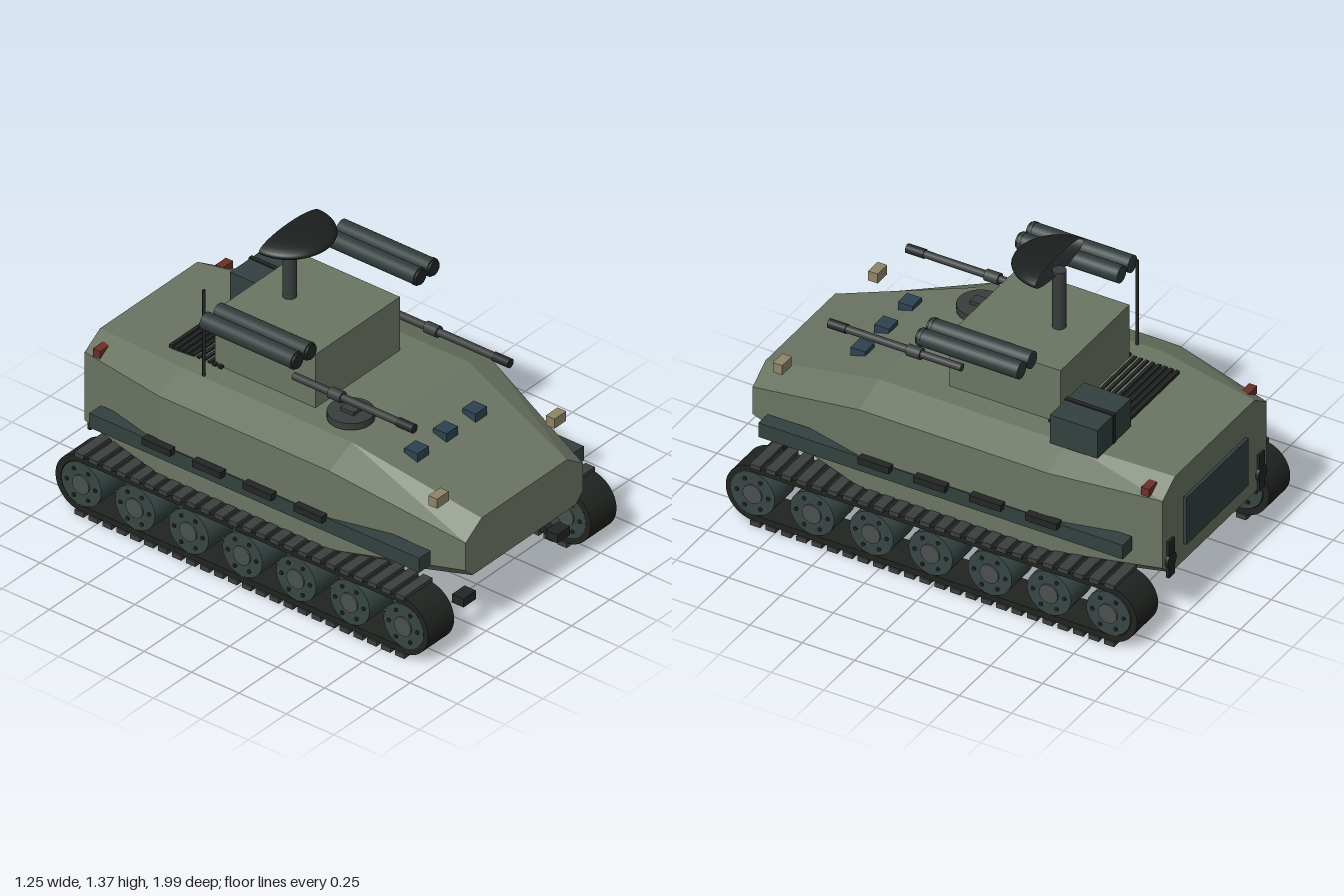
import * as THREE from 'three';

const mat = (color, extra = {}) => new THREE.MeshStandardMaterial({ color, ...extra });
const M = {
  hull: mat(0x6b7563, { flatShading: true }),
  dark: mat(0x222624),
  belt: mat(0x20231f),
  pad: mat(0x3b3f3d),
  wheel: mat(0x374644),
  hub: mat(0x4a504e),
  tube: mat(0x2f3b3a),
  metal: mat(0x393d3c),
  stowage: mat(0x33413f),
  glass: mat(0x2c4250),
  lamp: mat(0x8f8468),
  tail: mat(0x6b2f28),
  dish: mat(0x1c1f1f, { side: THREE.DoubleSide }),
};

function add(parent, name, geometry, material, x = 0, y = 0, z = 0) {
  const mesh = new THREE.Mesh(geometry, material);
  mesh.name = name;
  mesh.position.set(x, y, z);
  parent.add(mesh);
  return mesh;
}
const box = (p, name, m, w, h, d, x, y, z) => add(p, name, new THREE.BoxGeometry(w, h, d), m, x, y, z);
// Cylinders along each axis
const cylY = (p, name, m, r, h, x, y, z, n = 24) => add(p, name, new THREE.CylinderGeometry(r, r, h, n), m, x, y, z);
const cylZ = (p, name, m, r, h, x, y, z, n = 24) =>
  add(p, name, new THREE.CylinderGeometry(r, r, h, n).rotateX(Math.PI / 2), m, x, y, z);
const cylX = (p, name, m, r, h, x, y, z, n = 24) =>
  add(p, name, new THREE.CylinderGeometry(r, r, h, n).rotateZ(Math.PI / 2), m, x, y, z);

// Hull: eight-sided cross-sections lofted from rear to front
function hullGeometry() {
  // z, top y, top half-width, shoulder y, side half-width, lower side y, bottom half-width, bottom y
  const sections = [
    [-0.98, 0.71, 0.32, 0.645, 0.42, 0.31, 0.35, 0.25],
    [-0.5, 0.75, 0.385, 0.685, 0.535, 0.3, 0.44, 0.21],
    [0.4, 0.75, 0.385, 0.685, 0.535, 0.3, 0.44, 0.21],
    [1.0, 0.57, 0.28, 0.5, 0.385, 0.365, 0.34, 0.32],
  ];
  const rings = sections.map(([z, ty, tw, sy, sw, ly, bw, by]) => {
    const half = [[bw, by], [sw, ly], [sw, sy], [tw, ty]];
    const mirrored = half.map(([x, y]) => [-x, y]).reverse();
    return [...half, ...mirrored].map(([x, y]) => [x, y, z]);
  });
  const pos = [];
  const tri = (a, b, c) => pos.push(...a, ...b, ...c);
  for (let s = 0; s < rings.length - 1; s++) {
    for (let i = 0; i < 8; i++) {
      const j = (i + 1) % 8, A = rings[s], B = rings[s + 1];
      tri(A[i], A[j], B[j]);
      tri(A[i], B[j], B[i]);
    }
  }
  const rear = rings[0], front = rings[rings.length - 1];
  for (let i = 1; i < 7; i++) {
    tri(front[0], front[i], front[i + 1]);
    tri(rear[0], rear[i + 1], rear[i]);
  }
  const g = new THREE.BufferGeometry();
  g.setAttribute('position', new THREE.Float32BufferAttribute(pos, 3));
  g.computeVertexNormals();
  return g;
}

// Stadium outline for the track belt, in (z, y)
function stadium(Type, r, cy, z0, z1) {
  const s = new Type();
  s.moveTo(z0, cy - r);
  s.lineTo(z1, cy - r);
  s.absarc(z1, cy, r, -Math.PI / 2, Math.PI / 2, false);
  s.lineTo(z0, cy + r);
  s.absarc(z0, cy, r, Math.PI / 2, Math.PI * 1.5, false);
  return s;
}

function createTrack(side) {
  const track = new THREE.Group();
  track.name = side > 0 ? 'leftTrack' : 'rightTrack';
  const cx = side * 0.533, cy = 0.155, z0 = -0.84, z1 = 0.855;

  const outline = stadium(THREE.Shape, 0.135, cy, z0, z1);
  outline.holes.push(stadium(THREE.Path, 0.106, cy, z0, z1));
  const belt = new THREE.ExtrudeGeometry(outline, { depth: 0.17, bevelEnabled: false, curveSegments: 20 });
  belt.rotateY(-Math.PI / 2).translate(0.085, 0, 0);
  add(track, 'trackBelt', belt, M.belt, cx);

  // Tread pads on the upper and lower runs
  for (let i = 0; i < 24; i++) {
    const z = -0.845 + i * 0.0735;
    box(track, 'lowerPad', M.pad, 0.185, 0.022, 0.048, cx, 0.011, z);
    box(track, 'upperPad', M.pad, 0.185, 0.022, 0.048, cx, 0.294, z);
  }

  // Road wheels with hubs and bolts on both faces
  for (let i = 0; i < 7; i++) {
    const wheel = new THREE.Group();
    wheel.name = 'roadWheel';
    wheel.position.set(cx, cy, z1 + 0.005 - i * 0.283);
    cylX(wheel, 'wheelDisc', M.wheel, 0.105, 0.172, 0, 0, 0, 28);
    cylX(wheel, 'wheelHub', M.hub, 0.045, 0.186, 0, 0, 0, 20);
    for (let b = 0; b < 6; b++) {
      const a = (b / 6) * Math.PI * 2;
      cylX(wheel, 'wheelBolt', M.dark, 0.009, 0.186, 0, Math.sin(a) * 0.075, Math.cos(a) * 0.075, 8);
    }
    track.add(wheel);
  }
  return track;
}

function createSideFittings(side) {
  const g = new THREE.Group();
  g.name = side > 0 ? 'leftFittings' : 'rightFittings';

  // Side rail with footholds
  box(g, 'sideRail', M.stowage, 0.075, 0.07, 1.74, side * 0.503, 0.42, 0.01);
  for (let i = 0; i < 4; i++) box(g, 'foothold', M.dark, 0.04, 0.032, 0.15, side * 0.55, 0.455, 0.315 - i * 0.267);

  // Paired launch tubes
  for (const x of [0.36, 0.447]) {
    cylZ(g, 'launchTube', M.tube, 0.039, 0.48, side * x, 1.084, -0.082);
    cylZ(g, 'launchTubeCap', M.dark, 0.034, 0.01, side * x, 1.084, 0.163);
    cylZ(g, 'launchTubeRim', M.tube, 0.041, 0.015, side * x, 1.084, 0.15);
  }

  // Gun: barrel, collar and muzzle
  cylZ(g, 'gunBarrel', M.metal, 0.017, 0.6, side * 0.315, 0.892, 0.34, 16);
  cylZ(g, 'gunCollar', M.metal, 0.026, 0.065, side * 0.315, 0.892, 0.265, 16);
  cylZ(g, 'gunMuzzle', M.dark, 0.021, 0.085, side * 0.315, 0.892, 0.632, 16);

  // Lamps, tow fittings and deck hinges
  box(g, 'headlight', M.lamp, 0.077, 0.047, 0.045, side * 0.385, 0.663, 0.858);
  box(g, 'tailLight', M.tail, 0.067, 0.038, 0.038, side * 0.403, 0.675, -0.905);
  box(g, 'frontTowBlock', M.dark, 0.082, 0.042, 0.06, side * 0.308, 0.17, 0.93);
  box(g, 'rearTowPlate', M.dark, 0.045, 0.18, 0.016, side * 0.365, 0.335, -0.984);
  cylZ(g, 'rearTowEye', M.dark, 0.036, 0.016, side * 0.365, 0.325, -0.986, 16);
  for (const z of [-0.37, -0.4]) box(g, 'deckHinge', M.dark, 0.022, 0.016, 0.018, side * 0.284, 0.754, z);
  return g;
}

export function createModel() {
  const model = new THREE.Group();
  model.name = 'trackedVehicle';

  add(model, 'hull', hullGeometry(), M.hull);
  box(model, 'turret', M.hull, 0.555, 0.27, 0.53, 0, 0.877, -0.143);

  for (const side of [1, -1]) model.add(createTrack(side), createSideFittings(side));

  // Mast with half-dish antenna facing forward
  cylY(model, 'mast', M.metal, 0.03, 0.29, 0, 1.147, -0.237);
  const dish = new THREE.SphereGeometry(0.2, 32, 16, 0, Math.PI);
  dish.scale(1, 0.23, 1);
  add(model, 'radarDish', dish, M.dish, 0, 1.325, -0.24);

  // Crew hatch
  cylY(model, 'hatch', M.metal, 0.1, 0.032, -0.25, 0.775, 0.287, 28);
  box(model, 'hatchHandle', M.metal, 0.052, 0.018, 0.07, -0.25, 0.798, 0.287);

  // Driver periscopes
  for (const x of [-0.212, -0.021, 0.17]) box(model, 'periscope', M.glass, 0.075, 0.042, 0.07, x, 0.7, 0.602);

  // Engine grille
  box(model, 'grilleBase', M.dark, 0.58, 0.008, 0.22, 0, 0.745, -0.53);
  for (let i = 0; i < 8; i++) box(model, 'grilleSlat', M.dark, 0.58, 0.014, 0.016, 0, 0.75, -0.632 + i * 0.029);

  // Stowage bin with strap
  box(model, 'stowageBin', M.stowage, 0.272, 0.14, 0.226, 0.276, 0.812, -0.55);
  box(model, 'binStrap', M.dark, 0.02, 0.144, 0.236, 0.278, 0.815, -0.55);

  cylY(model, 'whipAntenna', M.dark, 0.007, 0.44, -0.375, 0.95, -0.388, 10);

  // Rear door
  box(model, 'rearDoor', M.stowage, 0.5, 0.235, 0.016, 0, 0.45, -0.986);
  return model;
}
